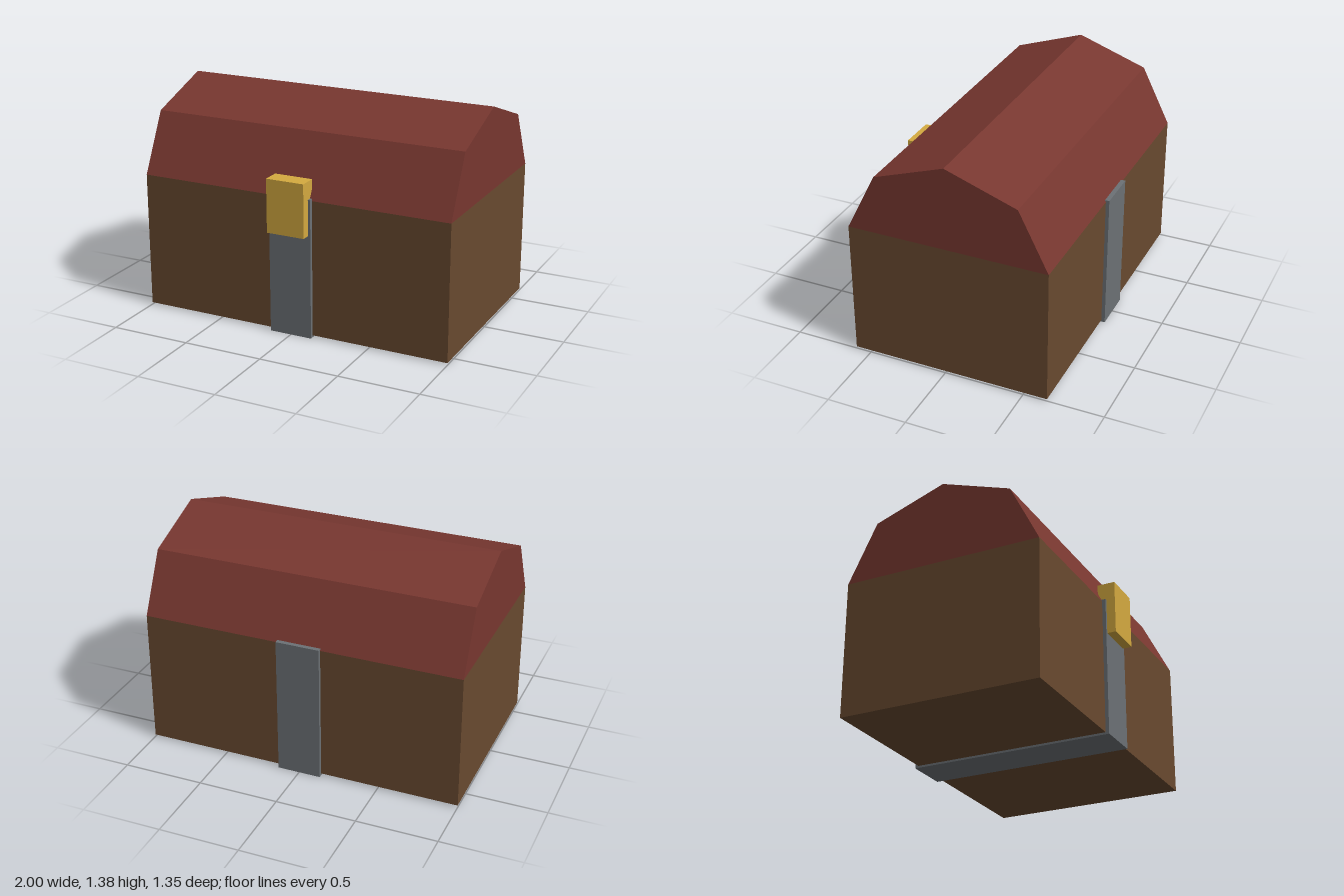
import * as THREE from 'three';

const material = (name, color) => {
  const m = new THREE.MeshStandardMaterial({ color });
  m.name = name;
  return m;
};

export function createModel() {
  const chest = new THREE.Group();
  chest.name = 'chest';
  const wood = material('brown wood', 0x694a30);
  const red = material('red lid', 0x783730);
  const iron = material('grey iron', 0x6c7175);
  const brass = material('brass', 0xd4aa40);

  const add = (name, geometry, mat) => {
    const mesh = new THREE.Mesh(geometry, mat);
    mesh.name = name;
    chest.add(mesh);
    return mesh;
  };
  // Box given by its half width and its y and z limits
  const addBox = (name, halfX, y0, y1, z0, z1, mat) =>
    add(name, new THREE.BoxGeometry(halfX * 2, y1 - y0, z1 - z0), mat)
      .position.set(0, (y0 + y1) / 2, (z0 + z1) / 2);

  addBox('body', 1, 0.013, 0.858, -0.649, 0.598, wood);

  // Strap wraps under the body and up both long sides
  addBox('strap', 0.136, 0, 0.87, -0.671, 0.62, iron);
  addBox('lock', 0.121, 0.648, 0.98, 0.565, 0.675, brass);

  // Faceted lid: a five-point profile swept along x (shape x becomes -z)
  const profile = [[0.598, 0.858], [0.415, 1.222], [-0.025, 1.375], [-0.466, 1.222], [-0.649, 0.858]];
  const shape = new THREE.Shape(profile.map(([z, y]) => new THREE.Vector2(-z, y)));
  const lid = new THREE.ExtrudeGeometry(shape, { depth: 2, bevelEnabled: false });
  lid.translate(0, 0, -1).rotateY(Math.PI / 2);
  add('lid', lid, red);

  return chest;
}
